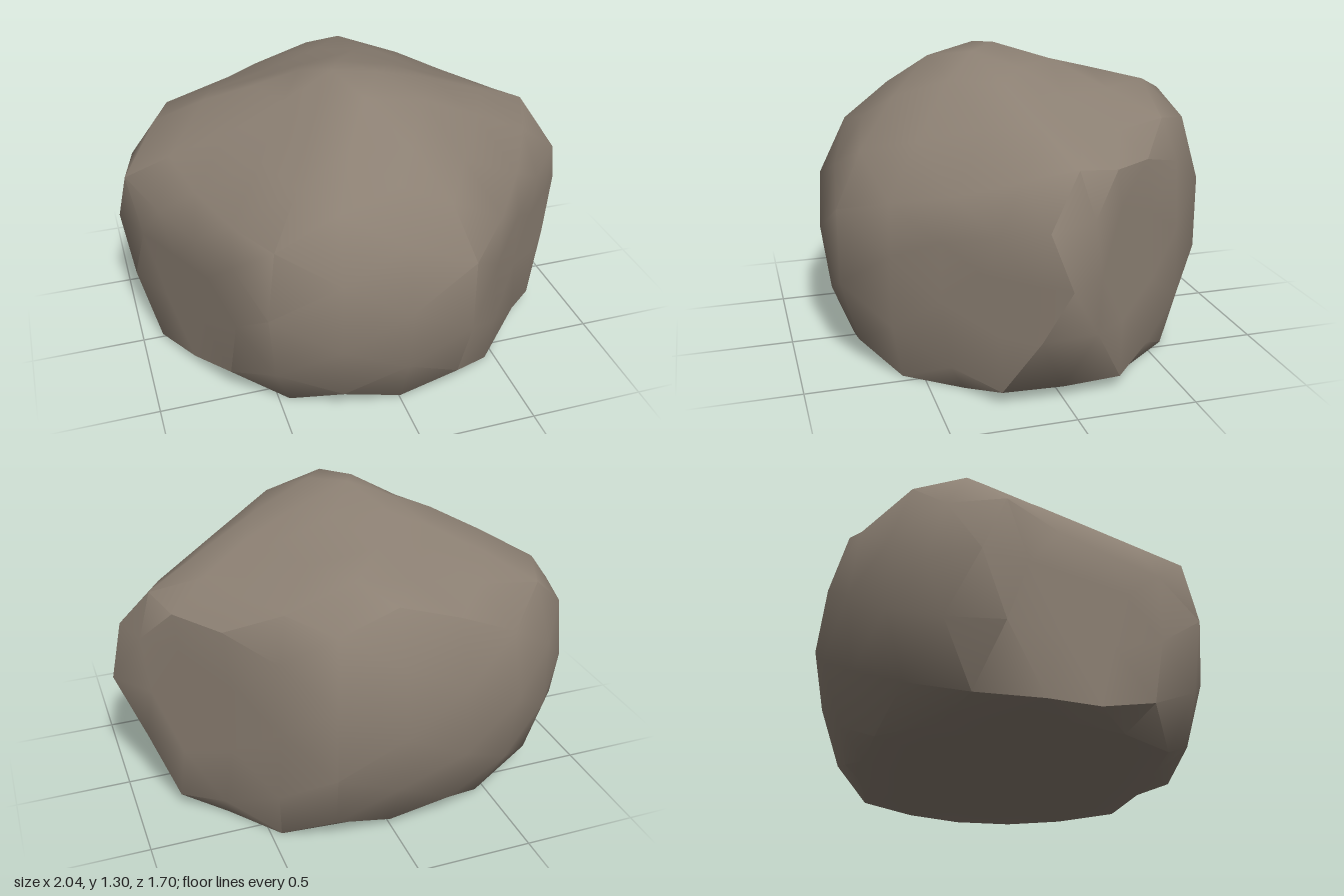
import * as THREE from 'three';
import { mergeVertices, toCreasedNormals } from 'three/addons/utils/BufferGeometryUtils.js';

// Flat facets that cut the boulder: normal x, y, z and offset (n . p = offset)
const FACETS = [
  [0.6, 0.8, 0.6, 1.28],         // shoulder, front left
  [0, 0.5, 0.86, 1.07],          // brow, front
  [0, 1, 0.8, 1.535],            // top, front
  [0, -0.4, -0.92, 0.62],        // lower back
  [0.9, -0.43, 0, 0.72],         // left corner, lower
  [0.92, 0.39, 0, 1.185],        // left corner, upper
  [0.4, 1, -0.2, 1.305],         // top, left
  [-0.73, 1, 0.38, 1.46],        // top, front right
  [-0.267, 1, -0.339, 1.316],    // top, back right
  [0.04, 1, 0.05, 1.3],          // crown
  [0.73, 0, 0.69, 0.77],         // front, model's left
  [-0.9, 0, 0.435, 0.82],        // front, model's right
  [0.77, 0.04, -0.64, 0.785],    // back, model's left
].map(([x, y, z, offset]) => new THREE.Plane(new THREE.Vector3(x, y, z), -offset).normalize());

const CENTRE = new THREE.Vector3(0, 0.54, 0);
const RADII = new THREE.Vector3(1.07, 1.0, 0.85);

function boulderGeometry() {
  const sphere = new THREE.IcosahedronGeometry(1, 3);
  sphere.deleteAttribute('normal');
  sphere.deleteAttribute('uv');
  const geo = mergeVertices(sphere, 1e-4);
  const pos = geo.attributes.position;
  const p = new THREE.Vector3();
  for (let i = 0; i < pos.count; i++) {
    p.fromBufferAttribute(pos, i).multiply(RADII).add(CENTRE);
    // Press points that stand proud of a facet flat onto it; repeat to settle the edges
    for (let pass = 0; pass < 3; pass++) {
      for (const facet of FACETS) {
        if (facet.distanceToPoint(p) > 0) facet.projectPoint(p, p);
      }
    }
    pos.setXYZ(i, p.x, Math.max(p.y, 0), p.z); // level base
  }
  return toCreasedNormals(geo, 0.75);
}

export function createModel() {
  const stone = new THREE.MeshStandardMaterial({ color: 0x8c8073 });
  stone.name = 'stone';
  const boulder = new THREE.Mesh(boulderGeometry(), stone);
  boulder.name = 'boulder';
  const group = new THREE.Group();
  group.name = 'rock';
  group.add(boulder);
  return group;
}
